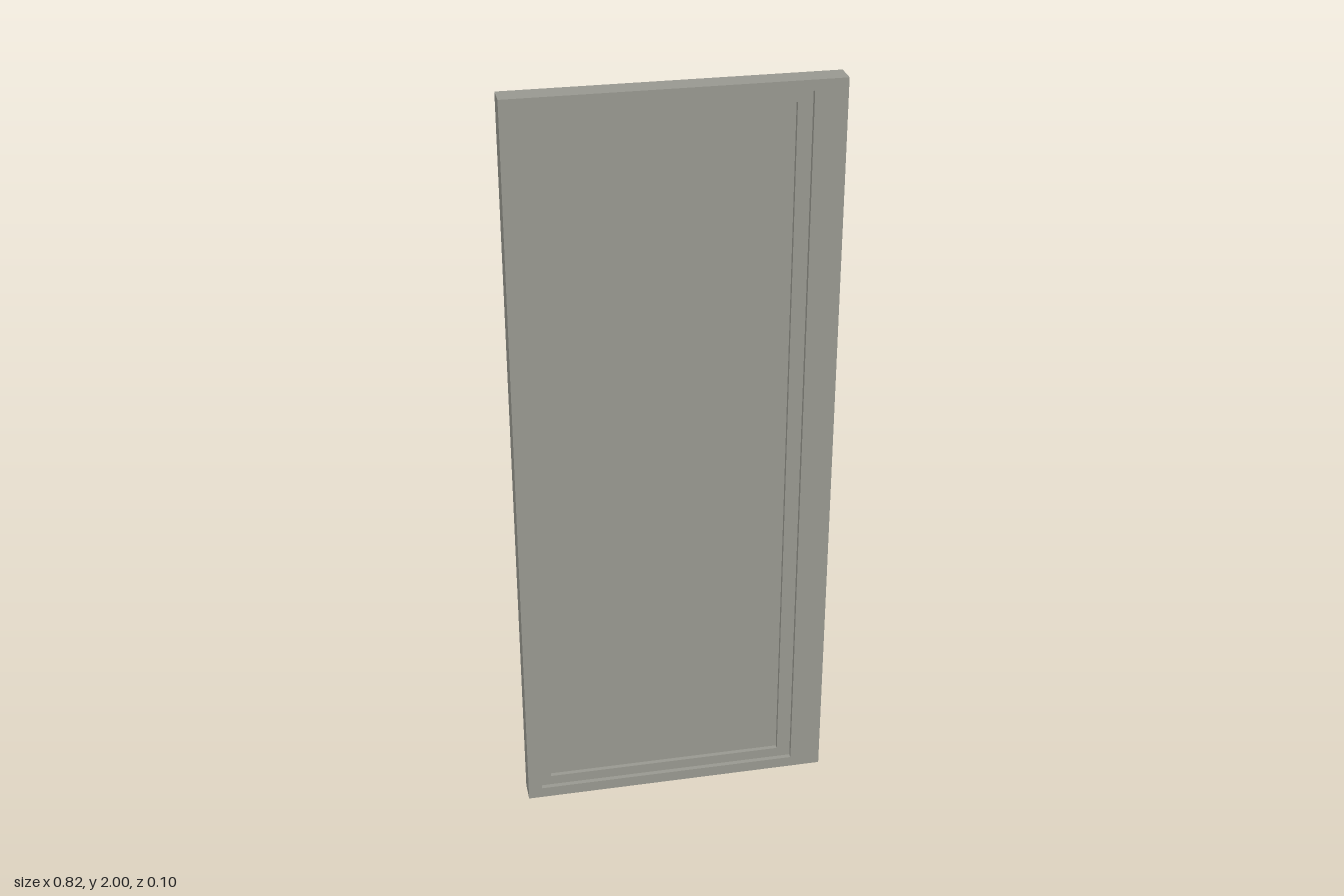
import * as THREE from 'three';

const grey = new THREE.MeshStandardMaterial({ color: 0x9a9a92 });
grey.name = 'warm grey';

// Rectangles as [left, right, bottom, top]
const OUTER = [-0.412, 0.412, 0, 2];
const REBATE = [-0.375, 0.33, 0.03, 1.973];
const PANEL = [-0.348, 0.293, 0.058, 1.944];

function trace(path, [l, r, b, t]) {
  path.moveTo(l, b);
  path.lineTo(r, b);
  path.lineTo(r, t);
  path.lineTo(l, t);
  path.closePath();
  return path;
}

// A rectangular slab between two depths, with an optional rectangular opening
function slab(name, rect, hole, z0, z1) {
  const shape = trace(new THREE.Shape(), rect);
  if (hole) shape.holes.push(trace(new THREE.Path(), hole));
  const geo = new THREE.ExtrudeGeometry(shape, { depth: z1 - z0, bevelEnabled: false });
  geo.translate(0, 0, z0);
  const mesh = new THREE.Mesh(geo, grey);
  mesh.name = name;
  return mesh;
}

// Bowed pull handle on the back face
function createHandle() {
  const handle = new THREE.Group();
  handle.name = 'handle';
  const half = [[0.118, -0.013], [0.106, -0.015], [0.094, -0.026], [0.074, -0.040], [0.04, -0.0475]];
  const points = [
    ...half.map(([y, z]) => new THREE.Vector3(0, -y, z)),
    new THREE.Vector3(0, 0, -0.049),
    ...half.slice().reverse().map(([y, z]) => new THREE.Vector3(0, y, z)),
  ];
  const curve = new THREE.CatmullRomCurve3(points);
  const bar = new THREE.Mesh(new THREE.TubeGeometry(curve, 48, 0.0045, 12).scale(2.1, 1, 1), grey);
  bar.name = 'handleBar';
  handle.add(bar);

  // Rounded feet that meet the door
  for (const side of [-1, 1]) {
    const foot = new THREE.Mesh(new THREE.SphereGeometry(1, 16, 10), grey);
    foot.scale.set(0.01, 0.014, 0.006);
    foot.position.set(0, side * 0.114, -0.012);
    foot.name = side < 0 ? 'lowerFoot' : 'upperFoot';
    handle.add(foot);
  }
  handle.position.set(0.363, 1.153, 0);
  return handle;
}

export function createModel() {
  const door = new THREE.Group();
  door.name = 'door';
  door.add(
    slab('frame', OUTER, REBATE, -0.01, 0.05),
    slab('innerMoulding', REBATE, PANEL, 0.003, 0.037),
    slab('centrePanel', PANEL, null, 0.015, 0.025),
    createHandle(),
  );
  return door;
}
